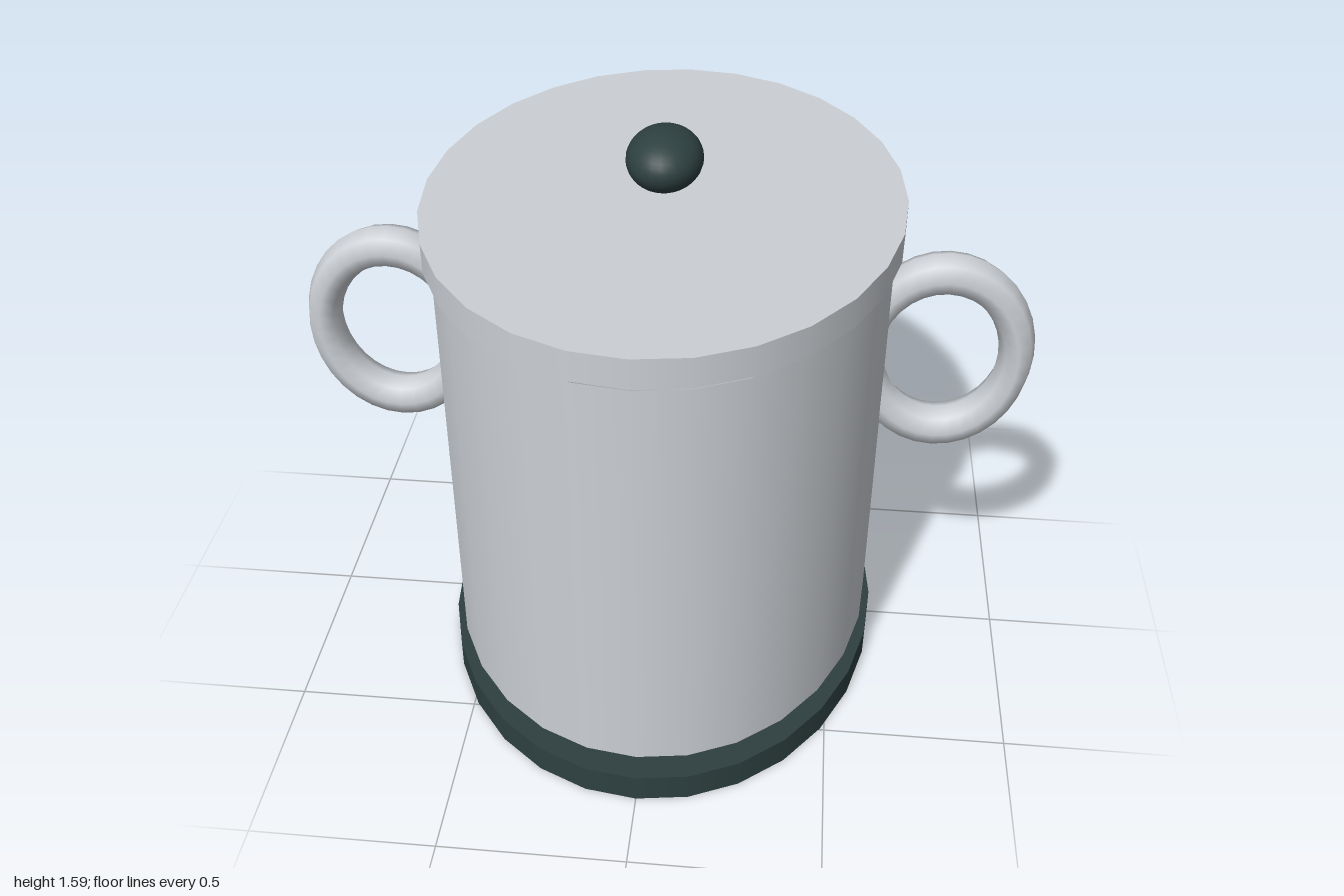
import * as THREE from 'three';

const SIDES = 28;
const DEPTH = 1.27; // oval stretch along z

export function createModel() {
  const model = new THREE.Group();
  model.name = 'ovalPot';

  const steel = new THREE.MeshStandardMaterial({ color: 0xcbcfd4, side: THREE.DoubleSide });
  steel.name = 'brushed steel';
  const dark = new THREE.MeshStandardMaterial({ color: 0x2e4040 });
  dark.name = 'dark slate';

  const add = (name, geometry, material, parent = model) => {
    const mesh = new THREE.Mesh(geometry, material);
    mesh.name = name;
    parent.add(mesh);
    return mesh;
  };

  // Oval ring or disc between two heights
  const oval = (name, rTop, rBottom, y0, y1, material, open, parent) => {
    const g = new THREE.CylinderGeometry(rTop, rBottom, y1 - y0, SIDES, 1, open);
    g.translate(0, (y0 + y1) / 2, 0);
    g.scale(1, 1, DEPTH);
    return add(name, g, material, parent);
  };

  // Base plate
  oval('base', 0.625, 0.625, 0, 0.08, dark, false);

  // Body: straight wall above a tapered foot
  const body = new THREE.Group();
  body.name = 'body';
  model.add(body);
  oval('wall', 0.605, 0.605, 0.135, 1.315, steel, true, body);
  oval('taperedFoot', 0.605, 0.365, 0.004, 0.135, steel, true, body);
  oval('floor', 0.5, 0.5, 0.081, 0.085, steel, false, body);

  // Lid, hovering just above the rim
  oval('lid', 0.625, 0.625, 1.335, 1.415, steel, false);

  // Knob
  const knob = add('knob', new THREE.SphereGeometry(0.1, 28, 20), dark);
  knob.scale.set(1, 0.78, DEPTH);
  knob.position.y = 1.507;

  // Ring handles, partly sunk into the wall
  for (const side of [1, -1]) {
    const handle = add(side > 0 ? 'leftHandle' : 'rightHandle',
      new THREE.TorusGeometry(0.2425, 0.0575, 8, 32), steel);
    handle.scale.set(0.833, 1, 1.08);
    handle.position.set(side * 0.75, 0.97, 0);
  }

  return model;
}
